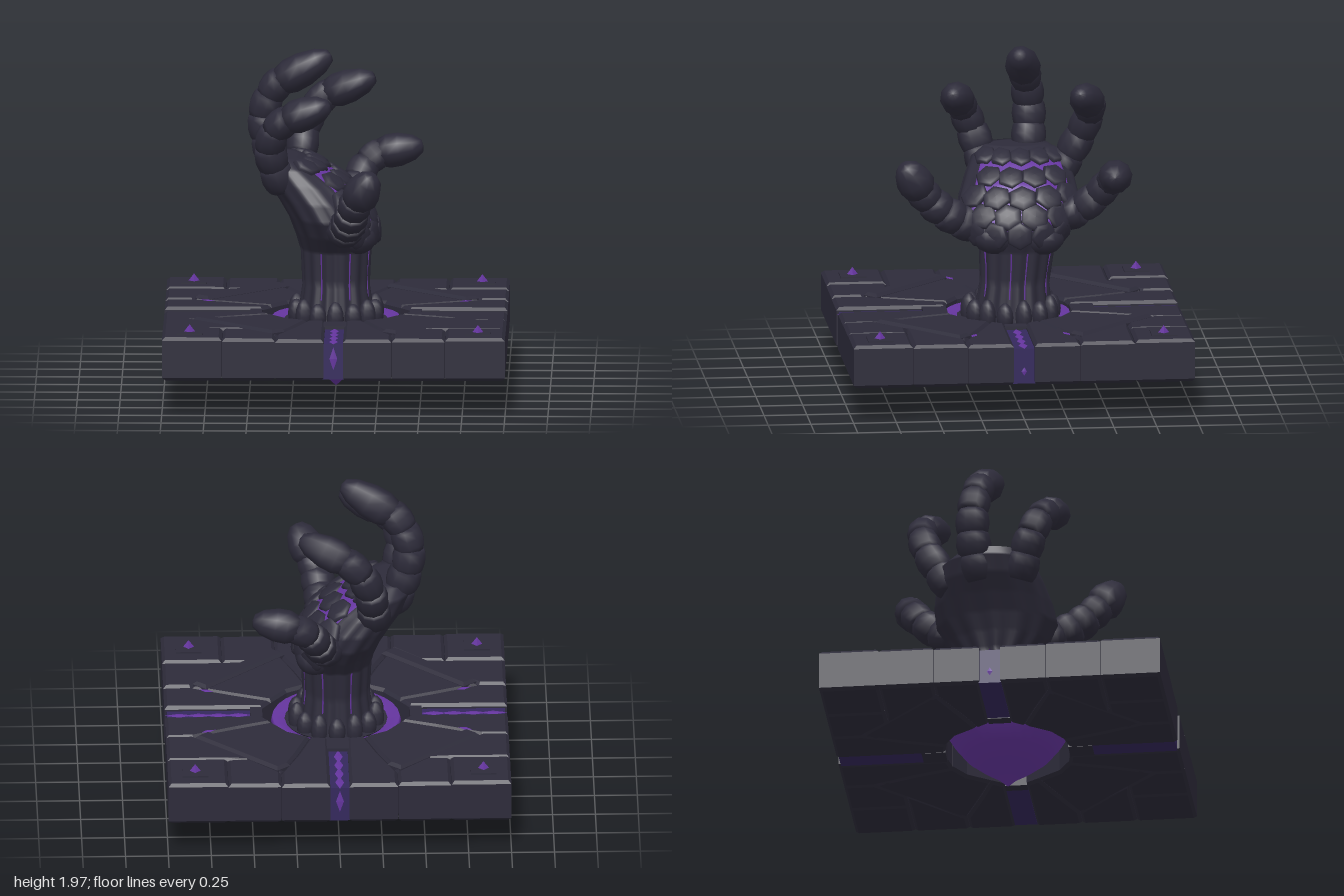
import * as THREE from 'three';
import { ParametricGeometry } from 'three/addons/geometries/ParametricGeometry.js';

const mat = (name, color, side = THREE.FrontSide) => {
  const m = new THREE.MeshStandardMaterial({ color, side });
  m.name = name;
  return m;
};
const stone = mat('dark stone', 0x2d2b3a);
const glow = mat('bright purple', 0x65359f, THREE.DoubleSide);
const dim = mat('dim purple', 0x34285c);
const UP = new THREE.Vector3(0, 1, 0);
const V = (p) => new THREE.Vector3(...p);

function add(parent, name, geometry, material, position = [0, 0, 0]) {
  const m = new THREE.Mesh(geometry, material);
  m.name = name;
  m.position.set(...position);
  parent.add(m);
  return m;
}

// Bevelled slab from an outline in x, z
function slab(parent, name, outline, top) {
  const shape = new THREE.Shape(outline.map(([x, z]) => new THREE.Vector2(x, -z)));
  const b = 0.018;
  const g = new THREE.ExtrudeGeometry(shape, {
    depth: top - 0.21 - 2 * b, bevelEnabled: true, bevelSegments: 1,
    bevelSize: b, bevelThickness: b, bevelOffset: -b - 0.001,
  });
  g.rotateX(-Math.PI / 2);
  return add(parent, name, g, stone, [0, 0.21 + b, 0]);
}

// Arm and palm sections: y, back x, palm x, low z, high z
const rows = [
  [0.38, -0.22, 0.22, -0.26, 0.2], [0.6, -0.19, 0.19, -0.235, 0.16],
  [0.8, -0.2, 0.2, -0.265, 0.165], [0.9, -0.23, 0.235, -0.34, 0.25],
  [1.0, -0.27, 0.225, -0.41, 0.3], [1.1, -0.33, 0.17, -0.42, 0.28],
  [1.2, -0.4, 0.08, -0.4, 0.24], [1.3, -0.44, -0.07, -0.36, 0.19],
  [1.36, -0.42, -0.2, -0.26, 0.12], [1.36, -0.3, -0.3, -0.07, -0.07],
];
function bodyPoint(a, v, grow = 0) {
  const i = Math.min(Math.floor(v), rows.length - 2);
  const [y, x0, x1, z0, z1] = rows[i].map((n, k) => THREE.MathUtils.lerp(n, rows[i + 1][k], v - i));
  const flute = 1 + 0.04 * Math.cos(14 * a) * Math.max(0, 1 - v / 8);
  return new THREE.Vector3(
    (x0 + x1) / 2 + ((x1 - x0) / 2 * flute + grow) * Math.cos(a), y,
    (z0 + z1) / 2 + ((z1 - z0) / 2 * flute + grow) * Math.sin(a));
}
function bodyNormal(a, v) {
  const du = bodyPoint(a - 0.2, v).sub(bodyPoint(a + 0.2, v));
  return du.cross(bodyPoint(a, v + 0.3).sub(bodyPoint(a, v - 0.3))).normalize();
}

// Finger of stacked barrel segments with a long tapering tip
function finger(parent, name, points, r, count = 4) {
  const g = new THREE.Group();
  g.name = name;
  parent.add(g);
  const curve = new THREE.CatmullRomCurve3(points.map(V));
  const barrel = [[0, -0.08], [0.8, -0.08], [0.95, 0.15], [1.02, 0.5], [0.95, 0.85], [0.8, 1.05], [0, 1.05]];
  const tip = [[0, 0], [0.8, 0], [1.08, 0.25], [1.06, 0.5], [0.8, 0.8], [0.42, 0.97], [0, 1]];
  const split = 0.66;
  for (let i = 0; i <= count; i++) {
    const last = i === count;
    const a = curve.getPointAt(split * i / count - (last ? 0.04 : 0));
    const b = curve.getPointAt(last ? 1 : split * (i + 1.1) / count);
    const len = a.distanceTo(b);
    const w = last ? r : r * (1.1 - 0.15 * i / count);
    const profile = (last ? tip : barrel).map(([x, y]) => new THREE.Vector2(x * w, y * len));
    const m = add(g, last ? 'fingertip' : 'fingerSegment', new THREE.LatheGeometry(profile, 10), stone, a.toArray());
    m.quaternion.setFromUnitVectors(UP, b.sub(a).normalize());
  }
}

function buildBase(root) {
  const base = new THREE.Group();
  base.name = 'base';
  root.add(base);
  // Paving slabs, mirrored into four quadrants
  const slabs = [
    ['sideSlab', [[0.055, 1], [0.34, 1], [0.34, 0.82], [0.24, 0.58], [0.16, 0.34], [0.055, 0.36]], 0.455],
    ['sideSlab', [[1, 0.06], [1, 0.33], [0.84, 0.33], [0.58, 0.22], [0.375, 0.14], [0.43, 0.06]], 0.455],
    ['edgeSlab', [[0.34, 1], [0.65, 1], [0.65, 0.65], [0.51, 0.65], [0.34, 0.82]], 0.46],
    ['edgeSlab', [[1, 0.33], [1, 0.65], [0.65, 0.65], [0.51, 0.65], [0.84, 0.33]], 0.46],
    ['cornerSlab', [[0.65, 0.65], [1, 0.65], [1, 1], [0.65, 1]], 0.465],
    ['innerSlab', [[0.34, 0.82], [0.84, 0.33], [0.58, 0.22], [0.375, 0.14], [0.28, 0.27], [0.16, 0.34], [0.24, 0.58]], 0.455],
  ];
  for (const sx of [-1, 1]) for (const sz of [-1, 1]) {
    for (const [name, pts, top] of slabs) slab(base, name, pts.map(([x, z]) => [x * sx, z * sz]), top);
    // Raised diagonal plank with a glowing chip at its end
    slab(base, 'diagonalPlank', [[0.28, 0.74], [0.36, 0.81], [0.83, 0.36], [0.75, 0.29]]
      .map(([x, z]) => [x * sx, z * sz]), 0.475);
    const chip = add(base, 'glowChip', new THREE.OctahedronGeometry(1), glow, [sx * 0.75, 0.457, sz * 0.27]);
    chip.scale.set(0.045, 0.005, 0.018);
    chip.rotation.y = -sx * sz * 0.4;
    // Corner cap with a gem
    add(base, 'cornerCap', new THREE.BoxGeometry(0.15, 0.03, 0.15), stone, [sx * 0.84, 0.458, sz * 0.83]);
    const gem = new THREE.ConeGeometry(0.038, 0.05, 4).toNonIndexed();
    gem.computeVertexNormals();
    add(base, 'cornerGem', gem, glow, [sx * 0.84, 0.49, sz * 0.83]);
  }
  // Glowing channels on the four axes
  for (let i = 0; i < 4; i++) {
    const arm = new THREE.Group();
    arm.name = 'channel';
    arm.rotation.y = i * Math.PI / 2;
    base.add(arm);
    add(arm, 'channelBed', new THREE.BoxGeometry(0.13, 0.21, 0.49), dim, [0, 0.322, 0.74]);
    const end = i % 2 ? 0.43 : 0.36;
    add(arm, 'channelEnd', new THREE.BoxGeometry(0.13, 0.235, 0.5 - end), stone, [0, 0.33, (0.5 + end) / 2]);
    for (let k = 0; k < 4; k++) {
      const s = add(arm, 'glowStreak', new THREE.OctahedronGeometry(1), glow, [0, 0.428, 0.57 + k * 0.115]);
      s.scale.set(0.026, 0.004, 0.085);
    }
    const d = add(arm, 'glowDiamond', new THREE.OctahedronGeometry(1), glow, [0, i % 2 ? 0.29 : 0.34, 0.986]);
    d.scale.set(i % 2 ? 0.016 : 0.023, i % 2 ? 0.025 : 0.068, 0.004);
  }
  // Crystal bowl hanging through the middle
  const bowl = [[0, 0.005], [0.06, 0.06], [0.15, 0.12], [0.25, 0.2], [0.32, 0.29], [0.38, 0.39], [0.37, 0.42], [0.3, 0.4], [0.27, 0.38]];
  add(base, 'crystalBowl', new THREE.LatheGeometry(bowl.map((p) => new THREE.Vector2(...p)), 28), glow);
  add(base, 'bowlFloor', new THREE.CylinderGeometry(0.3, 0.28, 0.03, 24), stone, [0, 0.39, 0]);
}

function buildHand(root) {
  const hand = new THREE.Group();
  hand.name = 'hand';
  root.add(hand);
  // Fluted arm and palm
  add(hand, 'armAndPalm', new ParametricGeometry((u, v, t) => {
    t.copy(bodyPoint(-u * Math.PI * 2, v * (rows.length - 1)));
  }, 84, 36), stone);
  // Glowing layer behind the palm stones
  add(hand, 'palmGlow', new ParametricGeometry((u, v, t) => {
    t.copy(bodyPoint(0.95 - u * 1.9, 3.5 + v * 3.9, 0.004));
  }, 20, 20), glow);
  // Six-sided palm stones in staggered rows
  const pad = [[1, -0.6], [1, 0.3], [0.86, 0.75], [0.5, 1], [0, 1.06]].map((p) => new THREE.Vector2(...p));
  const padGeometry = new THREE.LatheGeometry(pad, 6, Math.PI / 6);
  for (let r = 0; r < 5; r++) {
    const n = r % 2 ? 4 : 5;
    const v = 3.25 + r;
    const width = bodyPoint(Math.PI / 2, v).z - bodyPoint(-Math.PI / 2, v).z;
    for (let k = 0; k < n; k++) {
      const a = (k - (n - 1) / 2) * 0.46;
      const m = add(hand, 'palmStone', padGeometry, stone, bodyPoint(a, v, -0.006).toArray());
      m.quaternion.setFromUnitVectors(UP, bodyNormal(a, v));
      m.scale.set(0.083, 0.03, 0.133 * width);
    }
  }
  // Heel pads below the palm
  for (const [x, y, z] of [[0.13, 0.9, 0.09], [0.13, 0.89, -0.19]]) {
    const heel = add(hand, 'heelPad', new THREE.SphereGeometry(1, 12, 8), stone, [x, y, z]);
    heel.scale.set(0.11, 0.1, 0.13);
  }
  // Thin glowing veins in the wrist grooves
  for (const k of [-5, -3, -1, 0, 2, 4]) {
    const a = (k + 0.5) * Math.PI * 2 / 14;
    const pts = [0.7, 1.2, 1.6, 2.1].map((v) => bodyPoint(a, v, -0.001));
    add(hand, 'wristVein', new THREE.TubeGeometry(new THREE.CatmullRomCurve3(pts), 8, 0.005, 5), glow);
  }
  // Rounded claws around the wrist
  for (let i = 0; i < 14; i++) {
    const a = (i + 0.5) * Math.PI * 2 / 14;
    const c = add(hand, 'wristClaw', new THREE.SphereGeometry(1, 10, 8), stone,
      [0.235 * Math.cos(a), 0.44, -0.015 + 0.245 * Math.sin(a)]);
    c.scale.set(0.05, i % 2 ? 0.1 : 0.085, 0.05);
  }
  // Fingers
  finger(hand, 'thumb', [[0.04, 0.95, 0.2], [0.08, 1.02, 0.35], [0.1, 1.11, 0.46], [0.14, 1.22, 0.55], [0.22, 1.36, 0.63]], 0.1);
  finger(hand, 'indexFinger', [[-0.31, 1.2, 0.1], [-0.37, 1.36, 0.15], [-0.39, 1.5, 0.2], [-0.28, 1.63, 0.26], [-0.03, 1.72, 0.32]], 0.092);
  finger(hand, 'middleFinger', [[-0.32, 1.2, -0.13], [-0.39, 1.38, -0.16], [-0.43, 1.6, -0.16], [-0.3, 1.82, -0.12], [-0.03, 1.95, -0.07]], 0.095, 5);
  finger(hand, 'ringFinger', [[-0.22, 1.18, -0.3], [-0.2, 1.36, -0.41], [-0.17, 1.52, -0.48], [-0.03, 1.67, -0.49], [0.22, 1.76, -0.4]], 0.092);
  finger(hand, 'littleFinger', [[0.04, 1.0, -0.32], [0.1, 1.06, -0.44], [0.13, 1.17, -0.54], [0.24, 1.28, -0.61], [0.5, 1.32, -0.58]], 0.092);
}

export function createModel() {
  const root = new THREE.Group();
  root.name = 'stoneHandOnPlatform';
  buildBase(root);
  buildHand(root);
  return root;
}
